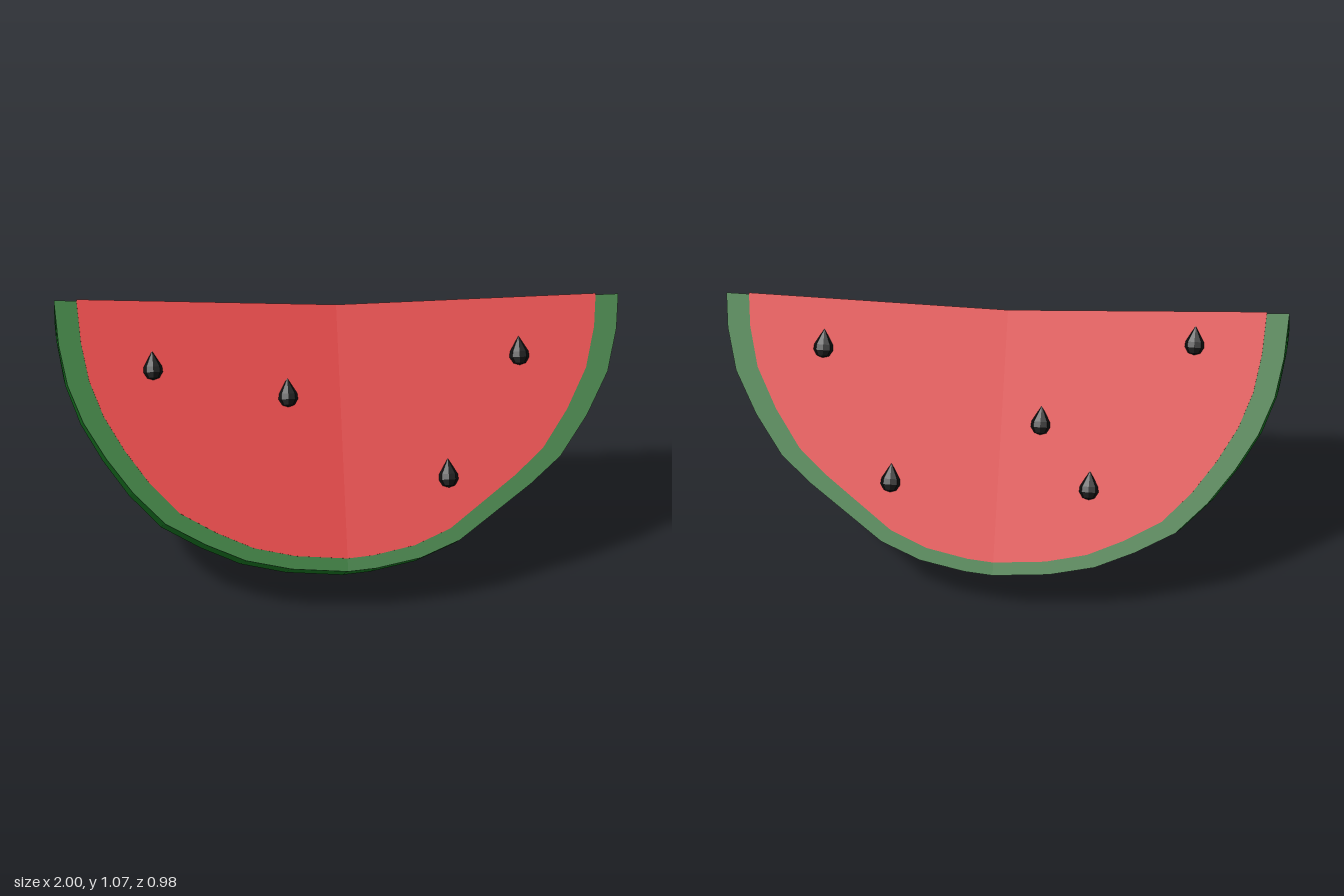
import * as THREE from 'three';

// Straight top edge, rising towards the right-hand end of the slice
const ridge = (x) => 1 + 0.074 * Math.max(0, -x);
const SLOPE = 0.49 / 0.8; // z gained per unit of drop on a cut face

// Depth of the slice below its top edge: [x, depth]
const depths = [
  [-1, 0], [-0.99, 0.17], [-0.965, 0.32], [-0.915, 0.46], [-0.84, 0.593], [-0.75, 0.72],
  [-0.64, 0.835], [-0.5, 0.91], [-0.36, 0.967], [-0.2, 0.995], [0, 1], [0.1, 0.992],
  [0.26, 0.96], [0.4, 0.9], [0.53, 0.8], [0.66, 0.7], [0.77, 0.6], [0.87, 0.45],
  [0.95, 0.29], [0.988, 0.13], [1, 0],
];

// Cross-section at unit depth: [z, drop], starting at the top edge
const section = [[0, 0], [0.49, 0.8], [0.255, 0.95], [0, 1], [-0.255, 0.95], [-0.49, 0.8]];

// Skin a wedge through the cross-sections
function wedge(xScale, depthScale, lift, profile) {
  const n = profile.length;
  const pos = [];
  const index = [];
  for (const [x, d] of depths) {
    for (const [z, drop] of profile) {
      const s = d * depthScale;
      pos.push(x * xScale, ridge(x * xScale) + lift - drop * s, z * s);
    }
  }
  for (let i = 0; i < depths.length - 1; i++) {
    for (let j = 0; j < n; j++) {
      const a = i * n + j;
      const b = i * n + ((j + 1) % n);
      index.push(a, b, a + n, b, b + n, a + n);
    }
  }
  const geo = new THREE.BufferGeometry();
  geo.setAttribute('position', new THREE.Float32BufferAttribute(pos, 3));
  geo.setIndex(index);
  const flat = geo.toNonIndexed();
  flat.computeVertexNormals();
  return flat;
}

export function createModel() {
  const model = new THREE.Group();
  model.name = 'melonSlice';
  const material = (color) => new THREE.MeshStandardMaterial({ color, flatShading: true });
  const add = (name, geo, mat) => {
    const mesh = new THREE.Mesh(geo, mat);
    mesh.name = name;
    model.add(mesh);
    return mesh;
  };

  // Rind, with its green band around the cut faces
  add('rind', wedge(1, 1, 0, section), material(0x146b1e));

  // Flesh, just proud of the cut faces
  add('flesh', wedge(0.92, 0.956, 0.006, section), material(0xd42a2a));

  // Flattened teardrop seeds
  const drop = [[0, -0.05], [0.022, -0.043], [0.035, -0.022], [0.033, -0.002], [0.017, 0.025], [0, 0.053]];
  const seedGeo = new THREE.LatheGeometry(drop.map(([r, y]) => new THREE.Vector2(r, y)), 8);
  seedGeo.scale(1, 1, 0.5);
  const seedMat = material(0x0a0a0a);
  const tilt = Math.atan(SLOPE);
  const seeds = [
    [-0.66, 0.12], [-0.185, 0.165], [0.64, 0.1], [0.37, 0.32],
    [-0.67, -0.055], [-0.325, -0.325], [-0.14, -0.205], [0.38, -0.325], [0.645, -0.085],
  ];
  for (const [x, z] of seeds) {
    const seed = add('seed', seedGeo, seedMat);
    seed.position.set(x, ridge(x) + 0.006 - Math.abs(z) / SLOPE, z);
    seed.rotation.x = -Math.sign(z) * tilt;
  }
  return model;
}
